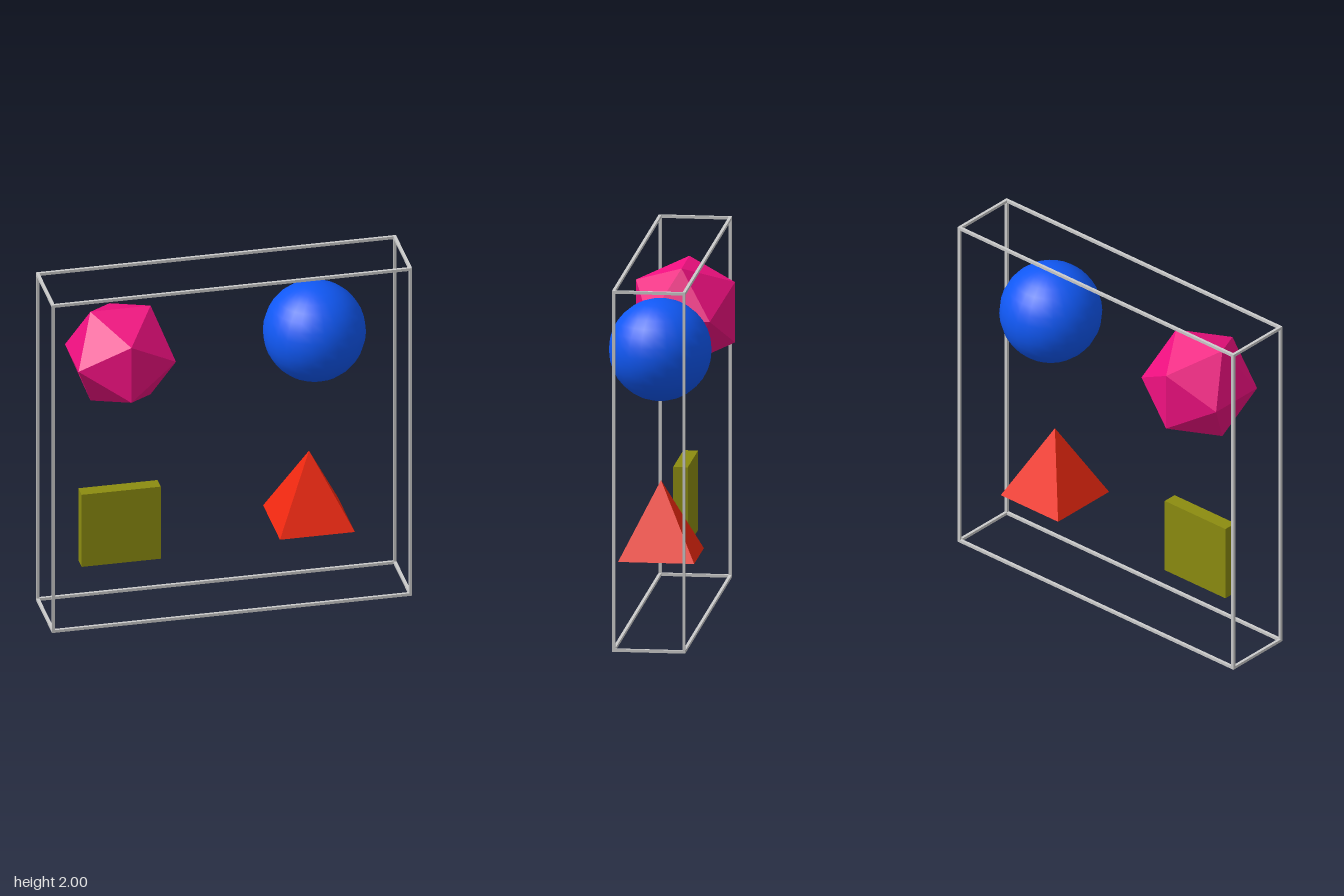
import * as THREE from 'three';

export function createModel() {
  const model = new THREE.Group();

  const add = (parent, name, geometry, color, x, y, z, flatShading = true) => {
    const mesh = new THREE.Mesh(geometry, new THREE.MeshStandardMaterial({ color, flatShading }));
    mesh.name = name;
    mesh.position.set(x, y, z);
    parent.add(mesh);
    return mesh;
  };

  // Wire-like box frame: four bars along each axis
  const W = 2, H = 2, D = 0.4, T = 0.016;
  const frame = new THREE.Group();
  frame.name = 'frame';
  model.add(frame);
  const ex = (W - T) / 2, ey = (H - T) / 2, ez = (D - T) / 2, cy = H / 2;
  const barX = new THREE.BoxGeometry(W, T, T);
  const barY = new THREE.BoxGeometry(T, H - 2 * T, T);
  const barZ = new THREE.BoxGeometry(T, T, D - 2 * T);
  for (const a of [-1, 1]) {
    for (const b of [-1, 1]) {
      add(frame, 'widthBar', barX, 0xcccccc, 0, cy + a * ey, b * ez);
      add(frame, 'uprightBar', barY, 0xcccccc, a * ex, cy, b * ez);
      add(frame, 'depthBar', barZ, 0xcccccc, a * ex, cy + b * ey, 0);
    }
  }

  // Floating solids
  add(model, 'icosahedron', new THREE.IcosahedronGeometry(0.318), 0xf01080, -0.575, 1.56, 0);
  add(model, 'sphere', new THREE.SphereGeometry(0.28, 24, 16), 0x1058f5, 0.502, 1.575, 0, false);
  add(model, 'slab', new THREE.BoxGeometry(0.44, 0.44, 0.08), 0x8c8c10, -0.58, 0.52, 0);

  // Square pyramid, turned so its sides face the axes
  const half = 0.208;
  const pyramid = new THREE.ConeGeometry(half * Math.SQRT2, 0.415, 4);
  pyramid.rotateY(Math.PI / 4);
  add(model, 'pyramid', pyramid, 0xf02810, 0.472, 0.637, 0);

  return model;
}
